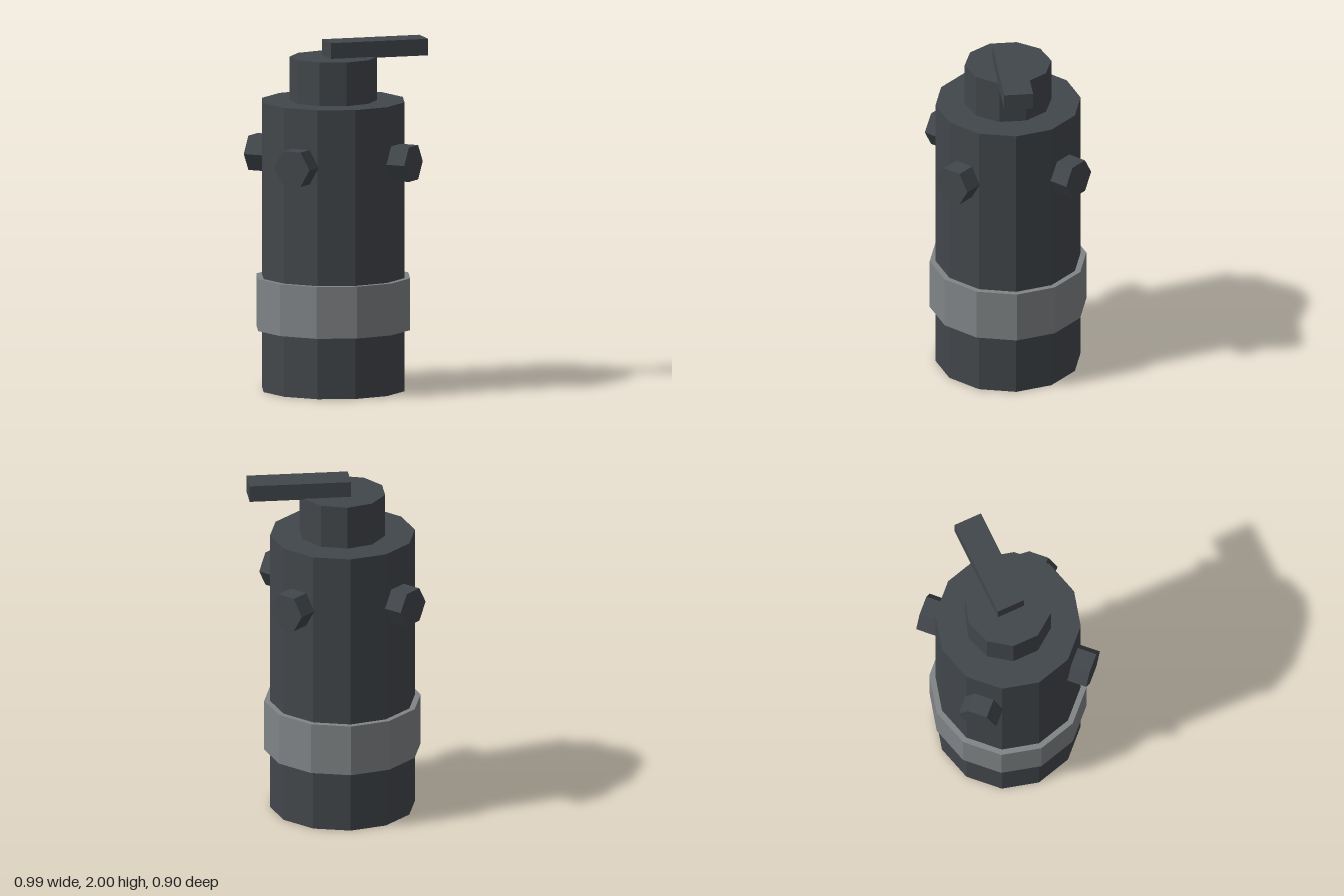
import * as THREE from 'three';

export function createModel() {
  const group = new THREE.Group();
  const darkMetal = new THREE.MeshStandardMaterial({ color: 0x42474b, flatShading: true });
  darkMetal.name = 'dark metal';
  const greyBand = new THREE.MeshStandardMaterial({ color: 0x808486, flatShading: true });
  greyBand.name = 'grey band';
  const axisX = -0.047; // the canister sits off centre to balance the lever

  const add = (name, geometry, material, x, y, z) => {
    const mesh = new THREE.Mesh(geometry, material);
    mesh.name = name;
    mesh.position.set(x, y, z);
    group.add(mesh);
    return mesh;
  };

  // Upright faceted cylinder between two heights
  const drum = (name, radius, sides, y0, y1, material) =>
    add(name, new THREE.CylinderGeometry(radius, radius, y1 - y0, sides), material, axisX, (y0 + y1) / 2, 0);

  drum('body', 0.415, 12, 0, 1.66, darkMetal);
  drum('band', 0.448, 12, 0.352, 0.65, greyBand);
  drum('cap', 0.248, 10, 1.66, 1.91, darkMetal);

  // Safety lever lying across the cap
  add('lever', new THREE.BoxGeometry(0.58, 0.095, 0.166), darkMetal, 0.203, 1.9525, 0);

  // Four hexagonal studs, flat side up, pointing out along the diagonals
  const studGeometry = new THREE.CylinderGeometry(0.114, 0.114, 0.2, 6, 1, false, Math.PI / 6);
  studGeometry.rotateX(Math.PI / 2);
  for (let i = 0; i < 4; i++) {
    const angle = Math.PI / 4 + (i * Math.PI) / 2;
    const reach = 0.414;
    const stud = add('stud' + (i + 1), studGeometry, darkMetal,
      axisX + Math.sin(angle) * reach, 1.33, Math.cos(angle) * reach);
    stud.rotation.y = angle;
  }
  return group;
}
